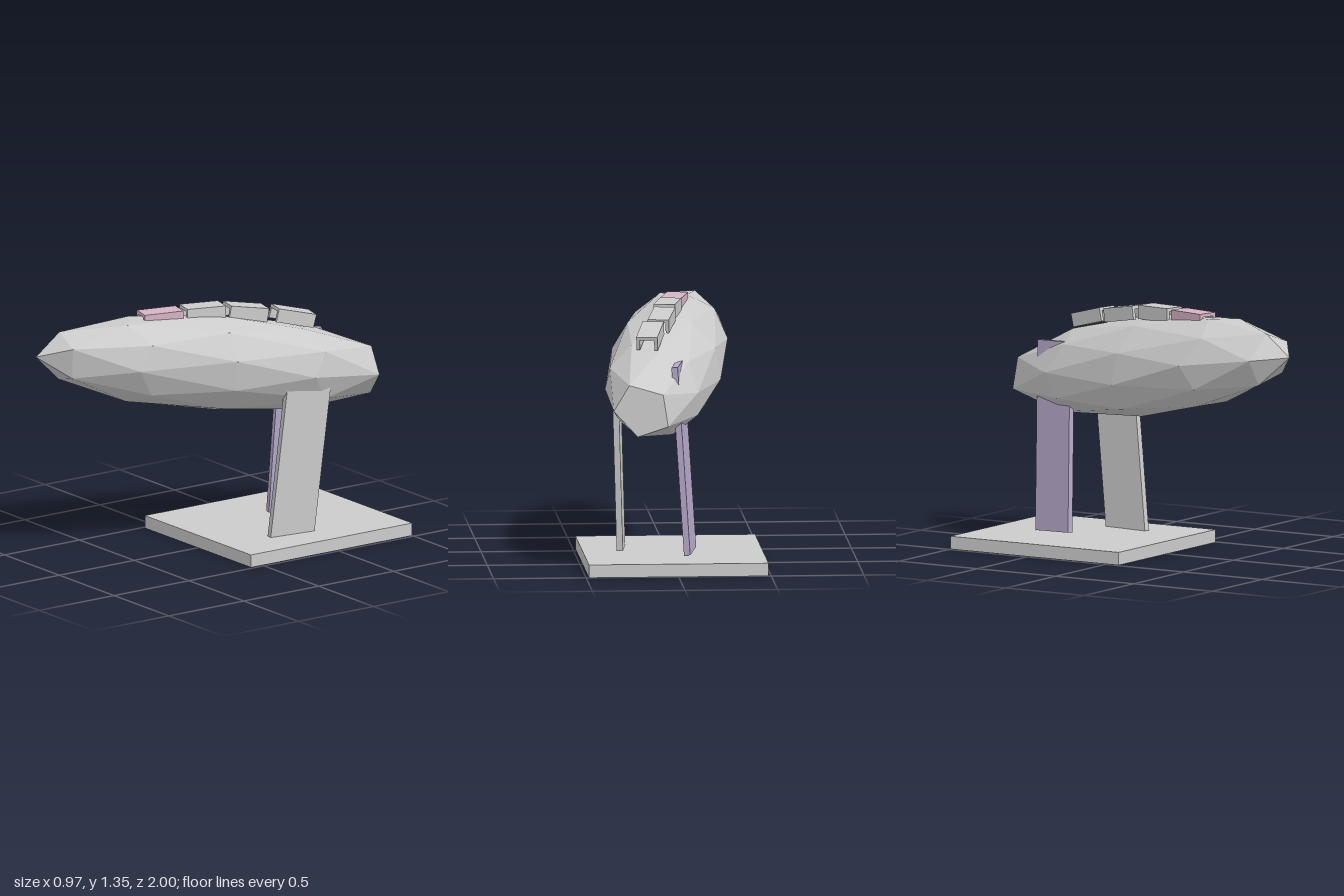
import * as THREE from 'three';

const material = (color = 0xcccccc) => new THREE.MeshStandardMaterial({ color, flatShading: true });

function addMesh(group, name, geometry, color) {
  const mesh = new THREE.Mesh(geometry, material(color));
  mesh.name = name;
  group.add(mesh);
  return mesh;
}

// Low-poly ellipsoid with a pointed nose on +z and a flat, slightly upturned tail on -z
function hullGeometry() {
  const g = new THREE.IcosahedronGeometry(1, 1);
  g.rotateX(Math.atan2(2, 1 + Math.sqrt(5)));
  g.rotateZ(THREE.MathUtils.degToRad(-27));
  const p = g.attributes.position;
  for (let i = 0; i < p.count; i++) {
    const x = p.getX(i), y = p.getY(i), z = Math.max(p.getZ(i), -0.8507);
    p.setXYZ(i, 0.3 * x, 0.27 * y + 0.036 * x, 1.067 * z + 0.054 * y);
  }
  g.computeVertexNormals();
  return g;
}

// Upside-down U channel, its top at y = 0, centred along z
function channelGeometry(width, height, length, wall) {
  const w = width / 2, i = w - wall;
  const shape = new THREE.Shape([
    [-w, -height], [-i, -height], [-i, -wall], [i, -wall],
    [i, -height], [w, -height], [w, 0], [-w, 0],
  ].map(([x, y]) => new THREE.Vector2(x, y)));
  return new THREE.ExtrudeGeometry(shape, { depth: length, bevelEnabled: false })
    .translate(0, 0, -length / 2);
}

// Plate standing on its foot, turned about y and then leaned
function addLeg(group, name, [thickness, height, depth], foot, yaw, leanX, leanZ, color) {
  const geometry = new THREE.BoxGeometry(thickness, height, depth).translate(0, height / 2, 0);
  const leg = addMesh(group, name, geometry, color);
  leg.position.set(...foot);
  leg.rotation.set(leanZ, yaw, -leanX, 'XZY');
}

export function createModel() {
  const model = new THREE.Group();
  model.name = 'mountedHull';
  const purple = 0xb8aacc, pink = 0xd6b4c4;

  // Base slab
  addMesh(model, 'base', new THREE.BoxGeometry(0.97, 0.07, 1.075)).position.set(0, 0.035, -0.4625);

  // Hull, nose up and turned to one side
  const hull = addMesh(model, 'hull', hullGeometry());
  hull.position.set(0.002, 1.02, -0.036);
  hull.rotation.set(-0.142, -0.2105, 0, 'YXZ');

  // Leaning legs; the right one pokes out through the top of the hull
  addLeg(model, 'leftLeg', [0.034, 0.91, 0.27], [0.267, 0.03, -0.346], -0.11, 0.034, -0.11);
  addLeg(model, 'rightLeg', [0.034, 1.03, 0.245], [-0.089, 0.08, -0.592], -0.2, 0.068, -0.03, purple);

  // Row of open channels along the spine: x, top y, z, pitch, colour
  const spine = new THREE.Group();
  spine.name = 'spineChannels';
  model.add(spine);
  [
    [-0.063, 1.348, 0.282, 0, pink],
    [-0.01, 1.35, 0.036, 0.02],
    [0.04, 1.321, -0.218, 0.17],
    [0.12, 1.272, -0.477, 0.25],
  ].forEach(([x, y, z, pitch, color], i) => {
    const channel = addMesh(spine, `channel${i + 1}`, channelGeometry(0.115, 0.075, 0.225, 0.018), color);
    channel.position.set(x, y, z);
    channel.rotation.set(-pitch, -0.23, 0, 'YXZ');
  });

  return model;
}
